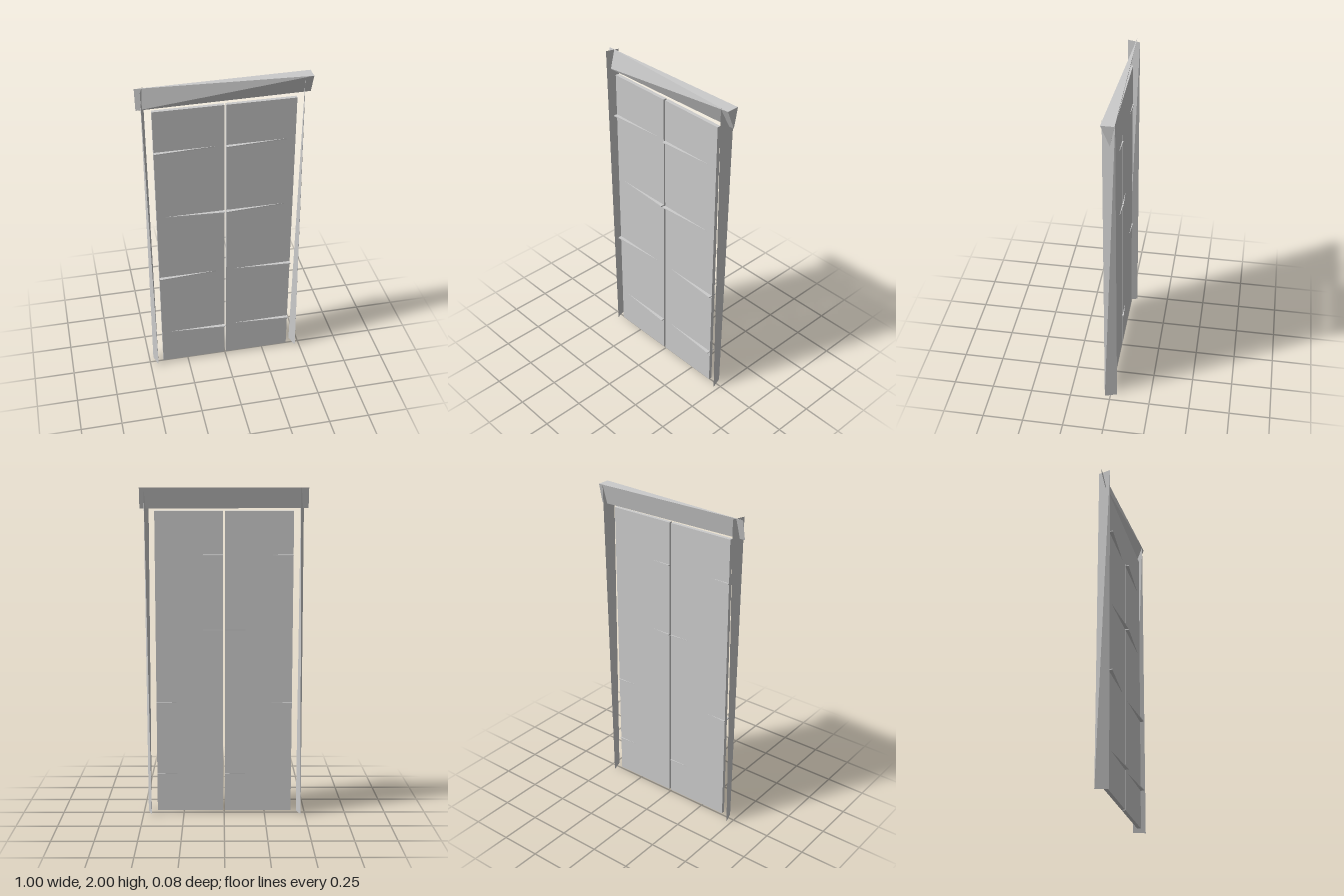
import * as THREE from 'three';
import { ConvexGeometry } from 'three/addons/geometries/ConvexGeometry.js';

const material = new THREE.MeshStandardMaterial({ color: 0xcccccc, flatShading: true });

// Faceted solid spanned by a few corner points
function solid(name, points) {
  const corners = points.map((p) => new THREE.Vector3(...p));
  const mesh = new THREE.Mesh(new ConvexGeometry(corners), material);
  mesh.name = name;
  return mesh;
}

// Twisted post: the bottom and top edges run along opposite diagonals
function post(name, x) {
  const w = 0.012, back = -0.04, front = 0.034;
  return solid(name, [
    [x + w, 0, front], [x - w, 0, back],
    [x - w, 2, front], [x + w, 2, back],
  ]);
}

// Thin wedge through a door leaf: deep at x0, closing to a sliver at x1
function slat(x0, x1, y) {
  const h = 0.003;
  return solid('slat', [
    [x0, y - h, -0.013], [x0, y - h, 0.04],
    [x0, y + h, -0.013], [x0, y + h, 0.04],
    [x1, y - h, 0.0135], [x1, y + h, 0.0135],
  ]);
}

// Door leaf with four slats; deepEnds tells which slats are deep at the outer side
function door(name, side, deepEnds) {
  const group = new THREE.Group();
  group.name = name;
  const inner = side * 0.006, outer = side * 0.414;
  const panel = new THREE.Mesh(new THREE.BoxGeometry(0.408, 1.85, 0.022), material);
  panel.name = 'doorPanel';
  panel.position.set((inner + outer) / 2, 0.94, 0.006);
  group.add(panel);
  deepEnds.forEach((deepOuter, i) => {
    const y = 1.603 - i * 0.45;
    group.add(deepOuter ? slat(outer, inner, y) : slat(inner, outer, y));
  });
  return group;
}

export function createModel() {
  const model = new THREE.Group();
  model.name = 'doubleDoor';

  // Header beam: flat leaning back, narrow at one end and wide at the other
  model.add(solid('header', [
    [-0.5, 2, -0.017], [-0.5, 1.88, 0.008],
    [0.5, 2, -0.041], [0.5, 2, 0.034], [0.5, 1.88, -0.016],
  ]));

  // Side posts
  model.add(post('rightPost', -0.462), post('leftPost', 0.461));

  // Door leaves
  model.add(door('rightDoor', -1, [true, false, true, false]));
  model.add(door('leftDoor', 1, [false, false, true, true]));
  return model;
}
